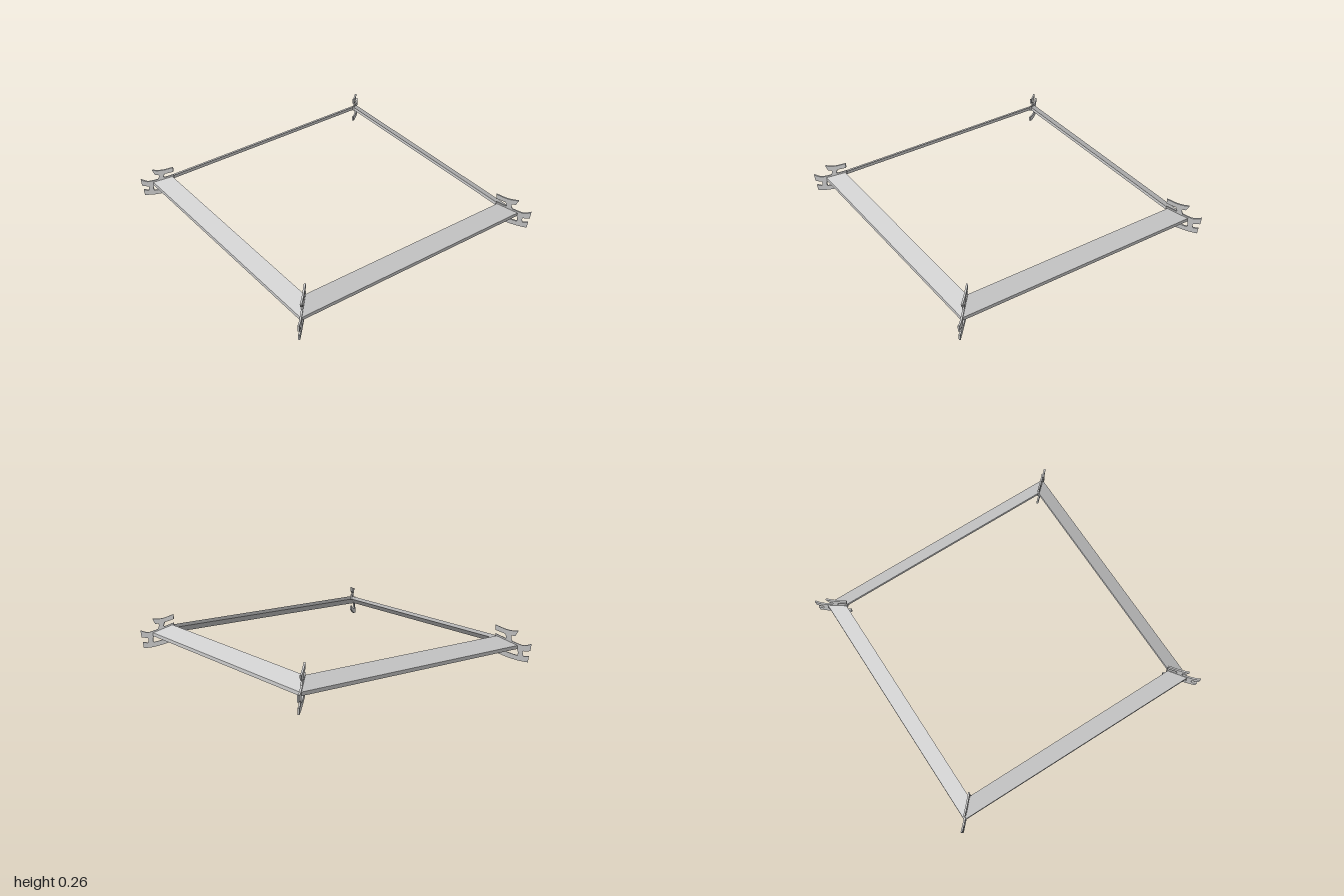
import * as THREE from 'three';

const material = new THREE.MeshStandardMaterial({ color: 0xcccccc, flatShading: true });
const D = Math.SQRT2; // diagonal distance per unit of x
const THICK = 0.012;

// Flat plate whose upper and lower edges are smooth curves; x is measured along the side of the frame
function plate(name, top, bottom) {
  const edge = (pts) => new THREE.SplineCurve(pts.map(([x, y]) => new THREE.Vector2(x * D, y))).getPoints(10);
  const shape = new THREE.Shape([...edge(top), ...edge(bottom).reverse()]);
  const geometry = new THREE.ExtrudeGeometry(shape, { depth: THICK, bevelEnabled: false });
  geometry.translate(0, 0, -THICK / 2);
  const mesh = new THREE.Mesh(geometry, material);
  mesh.name = name;
  return mesh;
}

// Post with slightly flared ends
function post(name, x0, x1, y0, y1) {
  const m = (y0 + y1) / 2, f = 0.006;
  return plate(name,
    [[x0 - f, y0], [x0, m], [x0 - f, y1]],
    [[x1 + f, y0], [x1, m], [x1 + f, y1]]);
}

function cornerBracket() {
  const g = new THREE.Group();
  g.name = 'cornerBracket';
  g.add(
    plate('upperArm',
      [[0.82, 0.268], [0.87, 0.239], [0.905, 0.229], [0.932, 0.228]],
      [[0.82, 0.232], [0.865, 0.208], [0.89, 0.197], [0.918, 0.192]]),
    post('upperPost', 0.873, 0.898, 0.155, 0.207),
    plate('hipArm',
      [[0.82, 0.206], [0.89, 0.162], [0.95, 0.128], [0.975, 0.127], [0.998, 0.137]],
      [[0.82, 0.166], [0.89, 0.122], [0.94, 0.092], [0.965, 0.084], [0.994, 0.087]]),
    post('lowerPost', 0.934, 0.957, 0.042, 0.1),
    plate('lowerArm',
      [[0.807, 0.118], [0.87, 0.08], [0.93, 0.053], [0.96, 0.047], [0.988, 0.05]],
      [[0.807, 0.082], [0.87, 0.044], [0.93, 0.018], [0.96, 0.01], [0.984, 0.005]])
  );
  return g;
}

export function createModel() {
  const model = new THREE.Group();
  model.name = 'roofEdge';

  // Sloping mitred frame: a slanted section swept round four sides
  const section = [[0.935, 0.1], [0.935, 0.125], [0.83, 0.19], [0.83, 0.165], [0.935, 0.1]]
    .map(([r, y]) => new THREE.Vector2(r * D, y));
  const frame = new THREE.Mesh(new THREE.LatheGeometry(section, 4, Math.PI / 4), material);
  frame.name = 'eaveFrame';
  model.add(frame);

  // One upturned bracket on each diagonal
  for (let i = 0; i < 4; i++) {
    const bracket = cornerBracket();
    bracket.rotation.y = Math.PI / 4 + i * Math.PI / 2;
    model.add(bracket);
  }
  return model;
}
